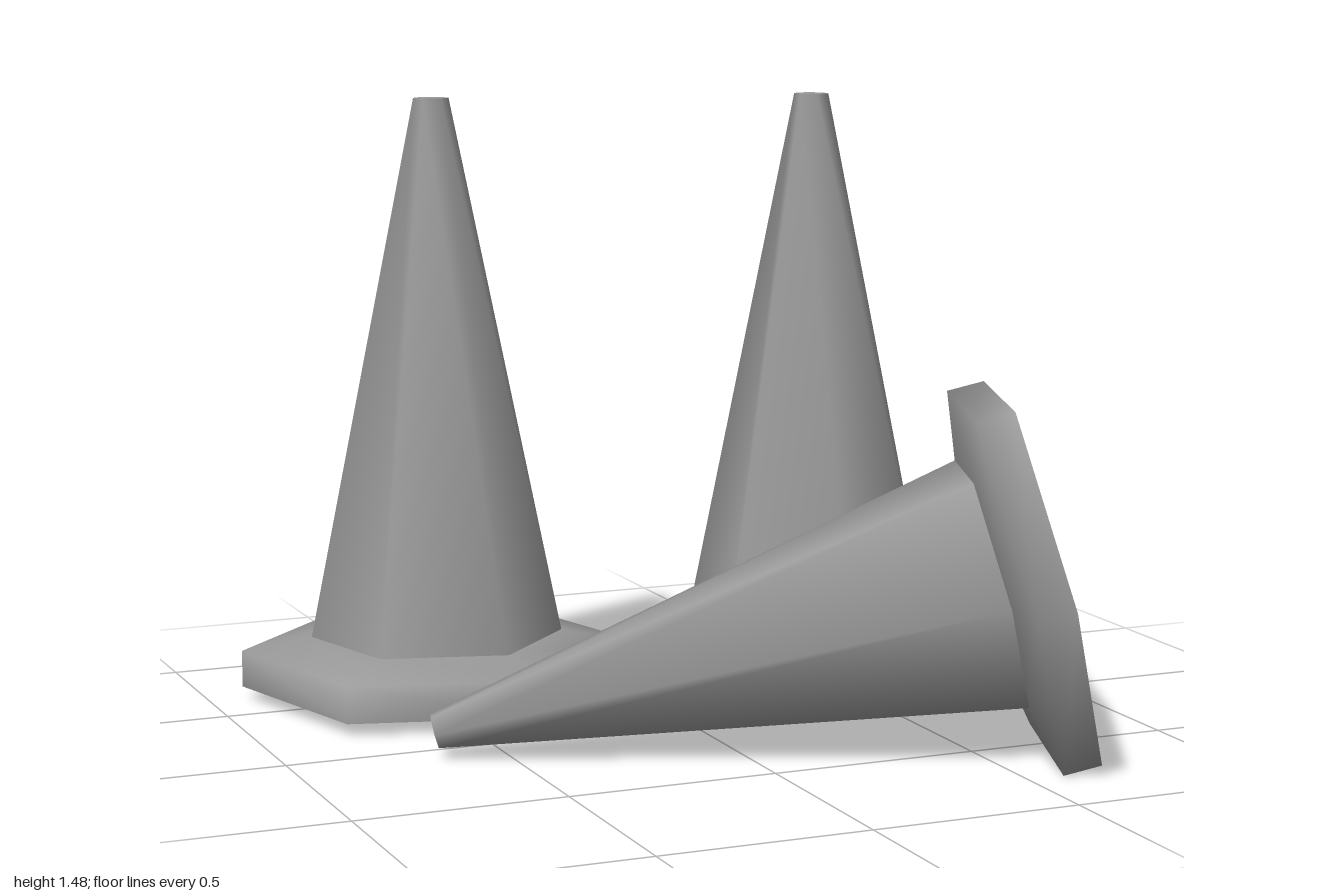
import * as THREE from 'three';

const SIDES = 6;
const BASE_R = 0.482, BODY_R = 0.31, TIP_R = 0.043;
const RIM_H = 0.09, BASE_H = 0.12, HEIGHT = 1.447;

const material = new THREE.MeshStandardMaterial({ color: 0x999999 });

function addMesh(group, name, geometry) {
  const mesh = new THREE.Mesh(geometry, material);
  mesh.name = name;
  group.add(mesh);
  return mesh;
}

// Six-sided shell with smooth normals, first corner on +x
function shell(points) {
  const profile = points.map(([r, y]) => new THREE.Vector2(r, y));
  return new THREE.LatheGeometry(profile, SIDES, Math.PI / 2);
}

// One traffic cone standing on its own y = 0
function makeCone(name) {
  const cone = new THREE.Group();
  cone.name = name;
  addMesh(cone, 'baseRim', shell([[BASE_R, 0], [BASE_R, RIM_H], [BODY_R, BASE_H]]));
  addMesh(cone, 'body', shell([[BODY_R, BASE_H], [TIP_R, HEIGHT]]));
  addMesh(cone, 'underside', new THREE.CircleGeometry(BASE_R, SIDES).rotateX(Math.PI / 2));
  addMesh(cone, 'tipCap', new THREE.CircleGeometry(TIP_R, SIDES).rotateX(-Math.PI / 2)).position.y = HEIGHT;
  return cone;
}

export function createModel() {
  const model = new THREE.Group();
  model.name = 'trafficCones';

  // Two upright cones, each turned by its own angle
  const upright = [
    ['backRightCone', -0.452, -0.535, 15],
    ['backLeftCone', 0.478, -0.347, 35.3],
  ];
  for (const [name, x, z, degrees] of upright) {
    const cone = makeCone(name);
    cone.position.set(x, 0.025, z);
    cone.rotation.y = -THREE.MathUtils.degToRad(degrees);
    model.add(cone);
  }

  // Fallen cone, resting on its tip and one edge of its base
  const fallen = makeCone('fallenCone');
  const axis = new THREE.Vector3(-1.31, -0.36, -0.47).normalize();
  const corner = new THREE.Vector3(-0.165, 0, 0.465);
  corner.addScaledVector(axis, -corner.dot(axis)).normalize();
  const side = new THREE.Vector3().crossVectors(corner, axis);
  fallen.quaternion.setFromRotationMatrix(new THREE.Matrix4().makeBasis(corner, axis, side));
  fallen.position.set(0.654, 0.421, 0.542);
  model.add(fallen);

  return model;
}
